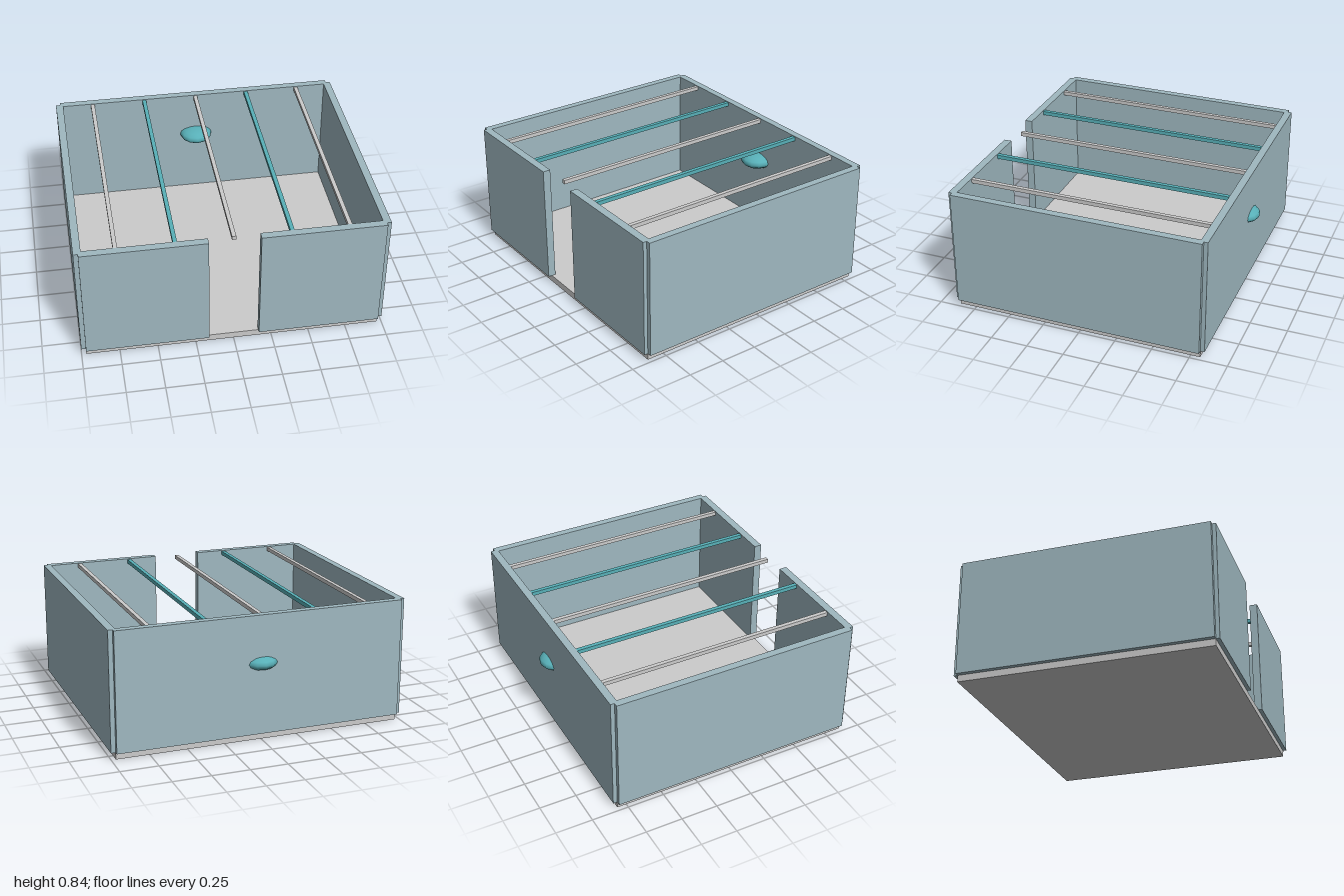
import * as THREE from 'three';

const grey = new THREE.MeshStandardMaterial({ color: 0xcccccc });
const wallPaint = new THREE.MeshStandardMaterial({ color: 0x9fb8c0 });
const teal = new THREE.MeshStandardMaterial({ color: 0x58b0b8 });

// Box given by its minimum and maximum corners
function box(name, material, [x0, y0, z0], [x1, y1, z1]) {
  const mesh = new THREE.Mesh(new THREE.BoxGeometry(x1 - x0, y1 - y0, z1 - z0), material);
  mesh.name = name;
  mesh.position.set((x0 + x1) / 2, (y0 + y1) / 2, (z0 + z1) / 2);
  return mesh;
}

export function createModel() {
  const model = new THREE.Group();
  model.name = 'openRoom';
  const bottom = 0.045, top = 0.84;

  // Floor slab
  model.add(box('floor', grey, [-0.97, 0, -0.813], [0.97, bottom, 0.867]));

  // Walls, with a doorway gap in the front
  model.add(
    box('backWall', wallPaint, [-0.97, bottom, -0.84], [0.97, top, -0.79]),
    box('leftWall', wallPaint, [0.95, bottom, -0.813], [1, top, 0.867]),
    box('rightWall', wallPaint, [-1, bottom, -0.813], [-0.95, top, 0.867]),
    box('frontWallLeft', wallPaint, [0.165, bottom, 0.84], [0.97, top, 0.892]),
    box('frontWallRight', wallPaint, [-0.97, bottom, 0.84], [-0.165, top, 0.892])
  );

  // Ceiling beams, alternating grey and teal
  for (let i = -2; i <= 2; i++) {
    const x = i * 0.37;
    model.add(box('ceilingBeam', i % 2 ? teal : grey,
      [x - 0.0135, 0.808, -0.79], [x + 0.0135, 0.835, 0.84]));
  }

  // Flattened ornament passing through the back wall
  const ornament = new THREE.Mesh(new THREE.SphereGeometry(0.115, 12, 8), teal);
  ornament.name = 'wallOrnament';
  ornament.scale.y = 0.46;
  ornament.position.set(0, 0.52, -0.78);
  model.add(ornament);

  return model;
}
